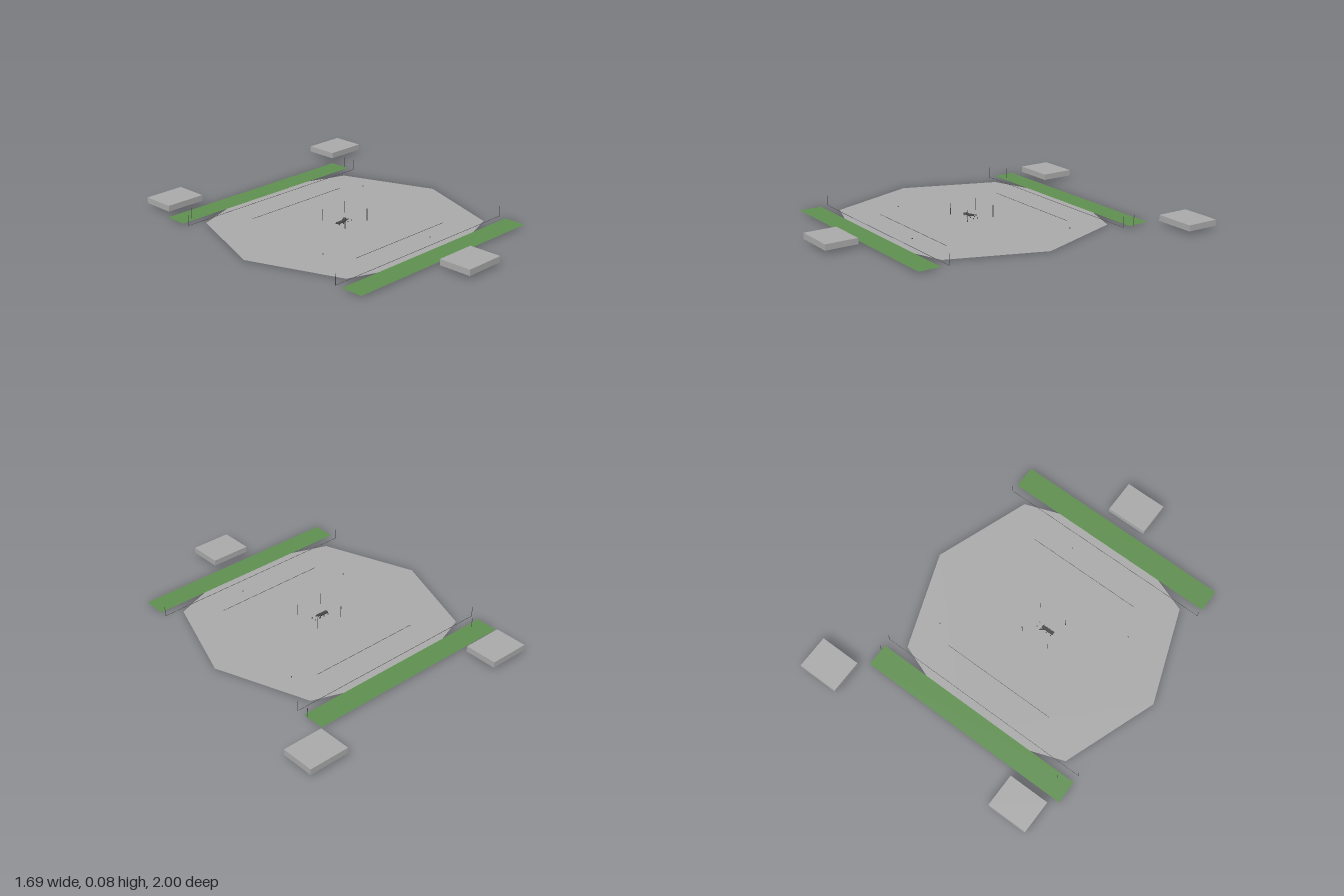
import * as THREE from 'three';

export function createModel() {
  const root = new THREE.Group();
  const material = (name, color, side = THREE.FrontSide) => {
    const m = new THREE.MeshStandardMaterial({ color, side });
    m.name = name;
    return m;
  };
  const stone = material('stone grey', 0xaaa9aa);
  const ground = material('ground grey', 0xaaa9aa, THREE.DoubleSide);
  const grass = material('grass green', 0x5f8f50, THREE.DoubleSide);
  const dark = material('dark metal', 0x484848);

  const add = (name, geometry, mat, x, y, z, parent = root) => {
    const mesh = new THREE.Mesh(geometry, mat);
    mesh.name = name;
    mesh.position.set(x, y, z);
    parent.add(mesh);
    return mesh;
  };
  const box = (name, w, h, d, mat, x, y, z, parent) =>
    add(name, new THREE.BoxGeometry(w, h, d), mat, x, y, z, parent);
  const flat = (geometry) => geometry.rotateX(-Math.PI / 2);

  // Eight-sided ground sheet
  const outline = [[0.75, 0], [0.55, 0.55], [0, 0.75], [-0.55, 0.55],
    [-0.75, 0], [-0.55, -0.55], [0, -0.75], [0.55, -0.55]];
  const shape = new THREE.Shape(outline.map(([x, y]) => new THREE.Vector2(x, y)));
  add('groundSheet', flat(new THREE.ShapeGeometry(shape)), ground, -0.1, 0.004, 0);

  // Grass verges, fence wires and inner marking wires on both sides
  for (const s of [-1, 1]) {
    add('grassVerge', flat(new THREE.PlaneGeometry(1.31, 0.135)), grass, -0.1, 0.01, s * 0.688);
    box('fenceWire', 1.31, 0.0015, 0.0015, dark, -0.1, 0.01, s * 0.575);
    box('innerWire', 0.7, 0.0015, 0.0015, dark, -0.08, 0.006, s * 0.405);
    for (const x of [-0.752, 0.558])
      box('fencePost', 0.002, 0.062, 0.002, dark, x, 0.041, s * 0.575);
  }
  box('fencePost', 0.002, 0.062, 0.002, dark, 0.558, 0.041, -0.65);
  box('fencePost', 0.002, 0.062, 0.002, dark, -0.67, 0.041, -0.65);

  // Three raised blocks around the ground
  for (const [x, z] of [[-0.588, -0.9], [0.722, -0.9], [-0.099, 0.9]])
    box('outerBlock', 0.245, 0.035, 0.198, stone, x, 0.038, z);

  // Four slim poles around the middle
  for (const x of [-0.186, -0.011])
    for (const z of [-0.09, 0.085])
      box('centrePole', 0.003, 0.07, 0.003, dark, x, 0.047, z);

  // Small machine in the middle: body, cab, arm and feet
  const machine = new THREE.Group();
  machine.name = 'centreMachine';
  machine.position.set(-0.11, 0, 0);
  root.add(machine);
  box('body', 0.06, 0.007, 0.02, dark, -0.022, 0.013, 0, machine);
  box('cab', 0.025, 0.008, 0.016, dark, 0.01, 0.017, -0.002, machine);
  box('arm', 0.04, 0.004, 0.006, dark, 0.012, 0.016, -0.016, machine).rotation.y = 0.7;
  for (const x of [-0.045, -0.015, 0.02, 0.05])
    for (const z of [-0.016, 0.012])
      box('foot', 0.005, 0.01, 0.004, dark, x, 0.005, z, machine);

  // Scattered marker pegs
  for (const [x, z] of [[0.39, -0.33], [-0.51, 0.24], [0.06, 0.49]])
    box('markerPeg', 0.005, 0.005, 0.005, dark, x, 0.006, z);

  return root;
}
